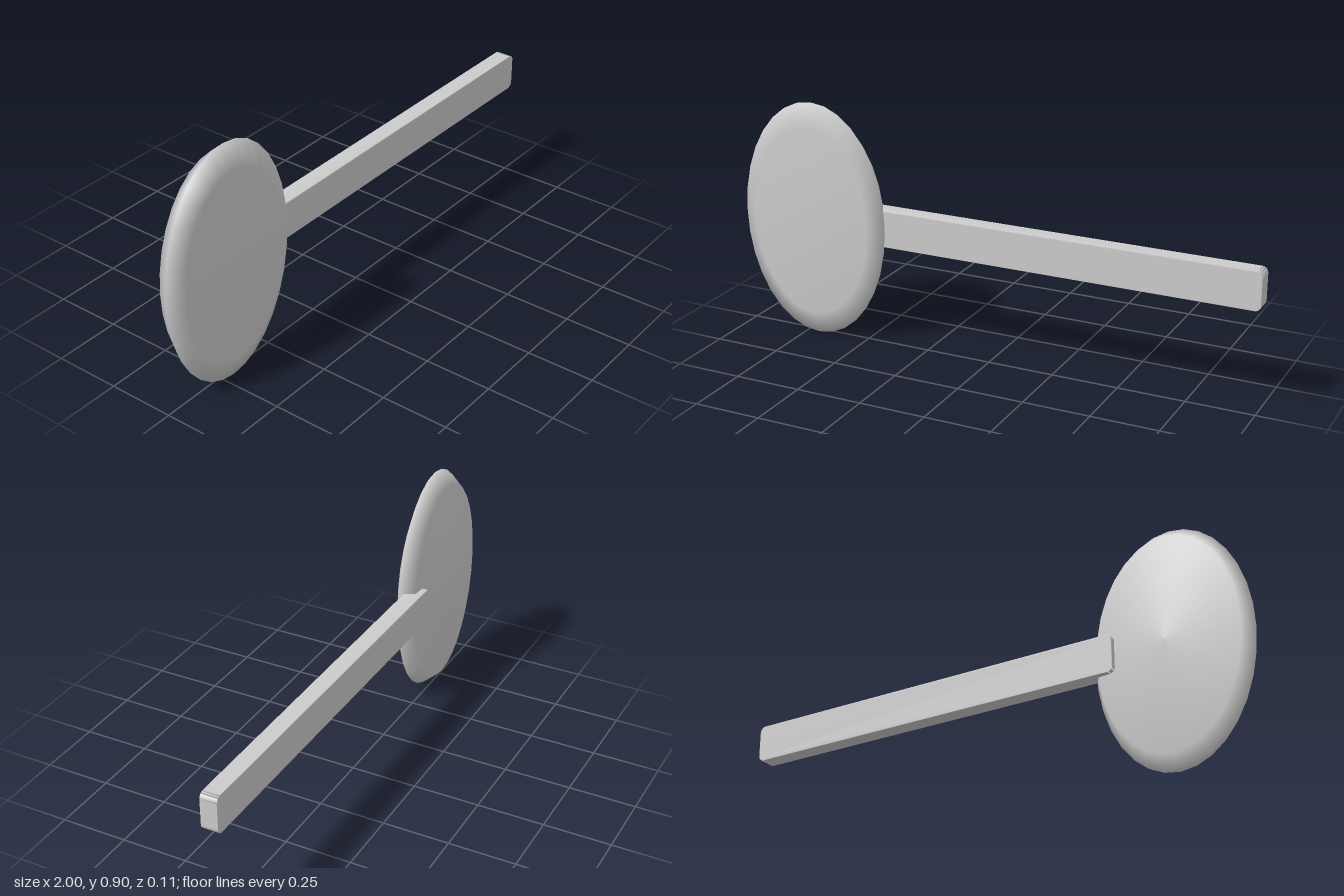
import * as THREE from 'three';
import { mergeVertices } from 'three/addons/utils/BufferGeometryUtils.js';

const material = new THREE.MeshStandardMaterial({ color: 0xcccccc });

// Oval head: flat front, sharp rim, shallow cone at the back
function makeHead() {
  const profile = [
    [0, -0.054], [0.895, -0.03], [1, 0.024], [0.8, 0.055], [0, 0.055],
  ].map(([r, z]) => new THREE.Vector2(r, z));
  const geometry = new THREE.LatheGeometry(profile, 32);
  geometry.rotateX(Math.PI / 2);
  geometry.scale(0.296, 0.448, 1);
  const head = new THREE.Mesh(geometry, material);
  head.name = 'head';
  head.position.set(-0.704, 0.448, 0);
  return head;
}

// Flat bar with rounded corners, normals shared across its edges
function makeHandle() {
  const x0 = -0.51, x1 = 1, y0 = 0.38, y1 = 0.52, r = 0.022;
  const shape = new THREE.Shape();
  shape.absarc(x1 - r, y0 + r, r, -Math.PI / 2, 0);
  shape.absarc(x1 - r, y1 - r, r, 0, Math.PI / 2);
  shape.absarc(x0 + r, y1 - r, r, Math.PI / 2, Math.PI);
  shape.absarc(x0 + r, y0 + r, r, Math.PI, Math.PI * 1.5);
  let geometry = new THREE.ExtrudeGeometry(shape, { depth: 0.062, bevelEnabled: false, curveSegments: 4 });
  geometry.translate(0, 0, -0.053);
  geometry.deleteAttribute('normal');
  geometry.deleteAttribute('uv');
  geometry = mergeVertices(geometry, 1e-4);
  geometry.computeVertexNormals();
  const handle = new THREE.Mesh(geometry, material);
  handle.name = 'handle';
  return handle;
}

export function createModel() {
  const paddle = new THREE.Group();
  paddle.name = 'paddle';
  paddle.add(makeHead(), makeHandle());
  return paddle;
}
